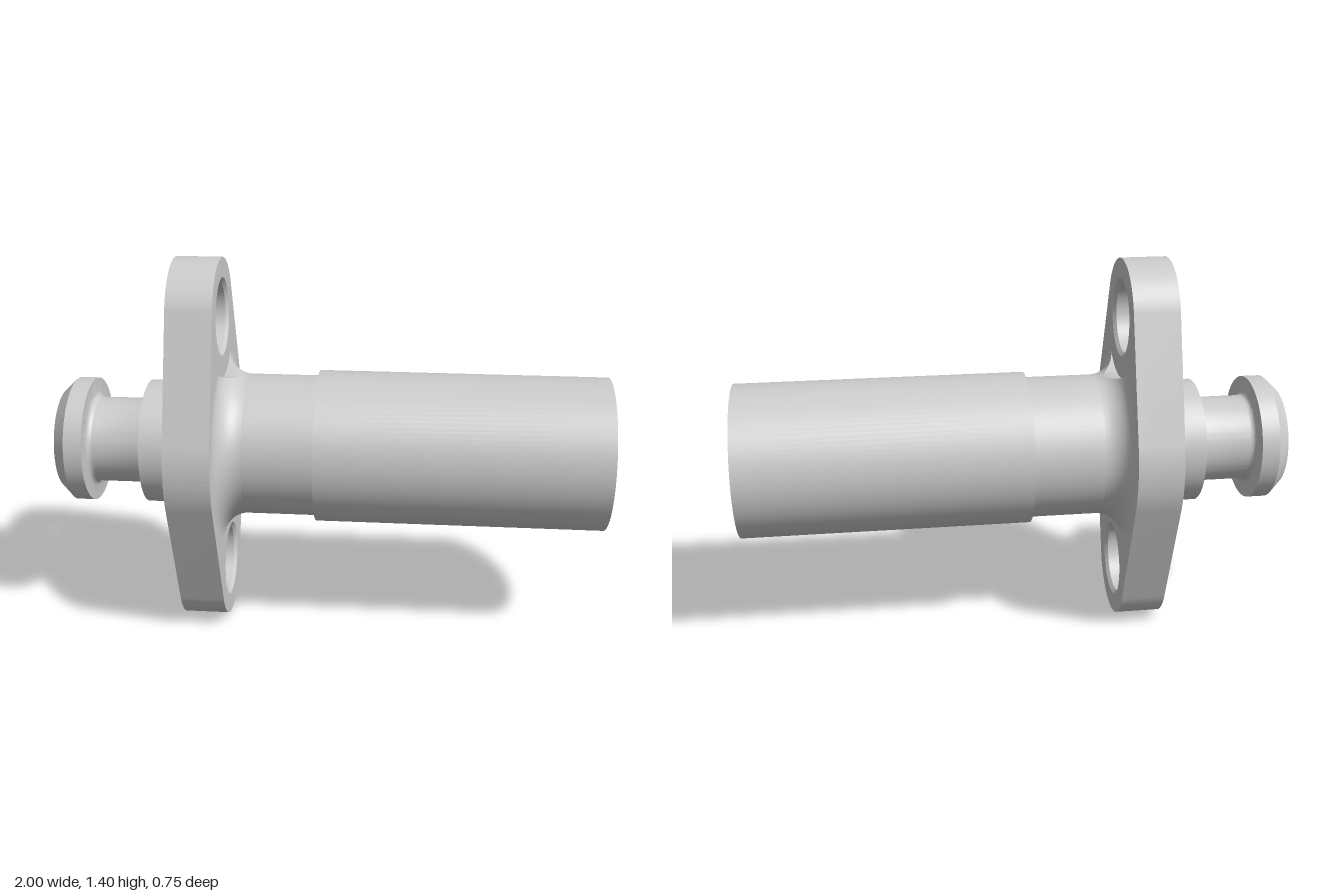
import * as THREE from 'three';
import { toCreasedNormals } from 'three/addons/utils/BufferGeometryUtils.js';

const AXIS_Y = 0.70;                      // height of the main axis
const FLANGE_X0 = -0.56, FLANGE_X1 = -0.395;
const HOLE_D = 0.488;                     // bolt hole offset from the axis
const NECK_R = 0.26, FILLET = 0.09, SPOT_R = 0.22;

const material = new THREE.MeshStandardMaterial({ color: 0xcccccc });

function part(name, geometry) {
  const mesh = new THREE.Mesh(toCreasedNormals(geometry, 0.45), material);
  mesh.name = name;
  return mesh;
}

// Turn an [x, radius] profile about the x axis
function turned(profile, segments = 96) {
  const points = profile.map(([x, r]) => new THREE.Vector2(r, x));
  return new THREE.LatheGeometry(points, segments).rotateZ(-Math.PI / 2);
}

// Arc of profile points around [cx, cr]
function arc(cx, cr, rad, from, to, n = 6) {
  return Array.from({ length: n + 1 }, (_, i) => {
    const a = from + (to - from) * i / n;
    return [cx + rad * Math.cos(a), cr + rad * Math.sin(a)];
  });
}

// Rounded diamond plate with two openings
function flangeGeometry() {
  const endR = 0.212, midR = 0.375;
  const a = Math.asin((midR - endR) / HOLE_D), PI = Math.PI;
  const shape = new THREE.Shape();
  shape.absarc(0, HOLE_D, endR, a, PI - a);
  shape.absarc(0, 0, midR, PI - a, PI + a);
  shape.absarc(0, -HOLE_D, endR, PI + a, 2 * PI - a);
  shape.absarc(0, 0, midR, -a, a);
  for (const s of [1, -1]) {
    const hole = new THREE.Path();
    hole.absarc(0, s * HOLE_D, 0.14, 0, 2 * PI, true);
    shape.holes.push(hole);
  }
  return new THREE.ExtrudeGeometry(shape, {
    depth: FLANGE_X1 - FLANGE_X0, bevelEnabled: false, curveSegments: 32,
  }).rotateY(PI / 2).translate(FLANGE_X0, 0, 0);
}

// Concave fillet from neck to flange, cut away around each bolt hole
function filletGeometry() {
  const around = 192, steps = 10, maxR = NECK_R + FILLET;
  const positions = [], index = [];
  for (let i = 0; i <= around; i++) {
    const phi = i / around * Math.PI * 2;
    const c = Math.abs(Math.cos(phi)), s = Math.sin(phi);
    const disc = SPOT_R ** 2 - (HOLE_D * s) ** 2;
    const cutR = disc > 0 ? Math.min(maxR, HOLE_D * c - Math.sqrt(disc)) : maxR;
    const end = Math.acos((maxR - cutR) / FILLET);
    for (let j = 0; j <= steps + 1; j++) {
      const t = end * Math.min(j / steps, 1);
      const r = maxR - FILLET * Math.cos(t);
      // the last row drops straight to the flange face
      const x = j > steps ? FLANGE_X1 : FLANGE_X1 + FILLET - FILLET * Math.sin(t);
      positions.push(x, r * Math.cos(phi), r * s);
    }
  }
  const row = steps + 2;
  for (let i = 0; i < around; i++) {
    for (let j = 0; j < row - 1; j++) {
      const a = i * row + j, b = a + row;
      index.push(a, a + 1, b, a + 1, b + 1, b);
    }
  }
  const geometry = new THREE.BufferGeometry();
  geometry.setAttribute('position', new THREE.Float32BufferAttribute(positions, 3));
  geometry.setIndex(index);
  return geometry;
}

export function createModel() {
  const group = new THREE.Group();
  group.name = 'flangedConnector';
  const assembly = new THREE.Group();
  assembly.name = 'connectorBody';
  assembly.position.y = AXIS_Y;
  group.add(assembly);

  // Spigot, neck, sleeve, socket with inner nozzle, and through bore
  const PI = Math.PI, g = 0.02;
  assembly.add(part('turnedBody', turned([
    [-1, 0.08], [-1, 0.185], [-0.953, 0.23], [-0.887, 0.23],
    ...arc(-0.887 + g, 0.158 + g, g, PI, 1.5 * PI),
    ...arc(-0.68 - g, 0.158 + g, g, 1.5 * PI, 2 * PI),
    [-0.68, 0.228], [-0.48, 0.228], [-0.48, NECK_R],
    [-0.05, NECK_R], [-0.05, 0.28], [1, 0.28],
    [1, 0.26], [0.70, 0.22], [0.70, 0.145],
    [0.99, 0.112], [0.99, 0.08], [-1, 0.08],
  ])));

  assembly.add(part('flange', flangeGeometry()));
  assembly.add(part('neckFillet', filletGeometry()));

  // Bolt hole walls with chamfered rims
  const k = 0.012;
  for (const [name, s] of [['upperBoltHole', 1], ['lowerBoltHole', -1]]) {
    const wall = part(name, turned([
      [FLANGE_X1, 0.14], [FLANGE_X1 - k, 0.128],
      [FLANGE_X0 + k, 0.128], [FLANGE_X0, 0.14],
    ], 64));
    wall.position.y = s * HOLE_D;
    assembly.add(wall);
  }
  return group;
}
